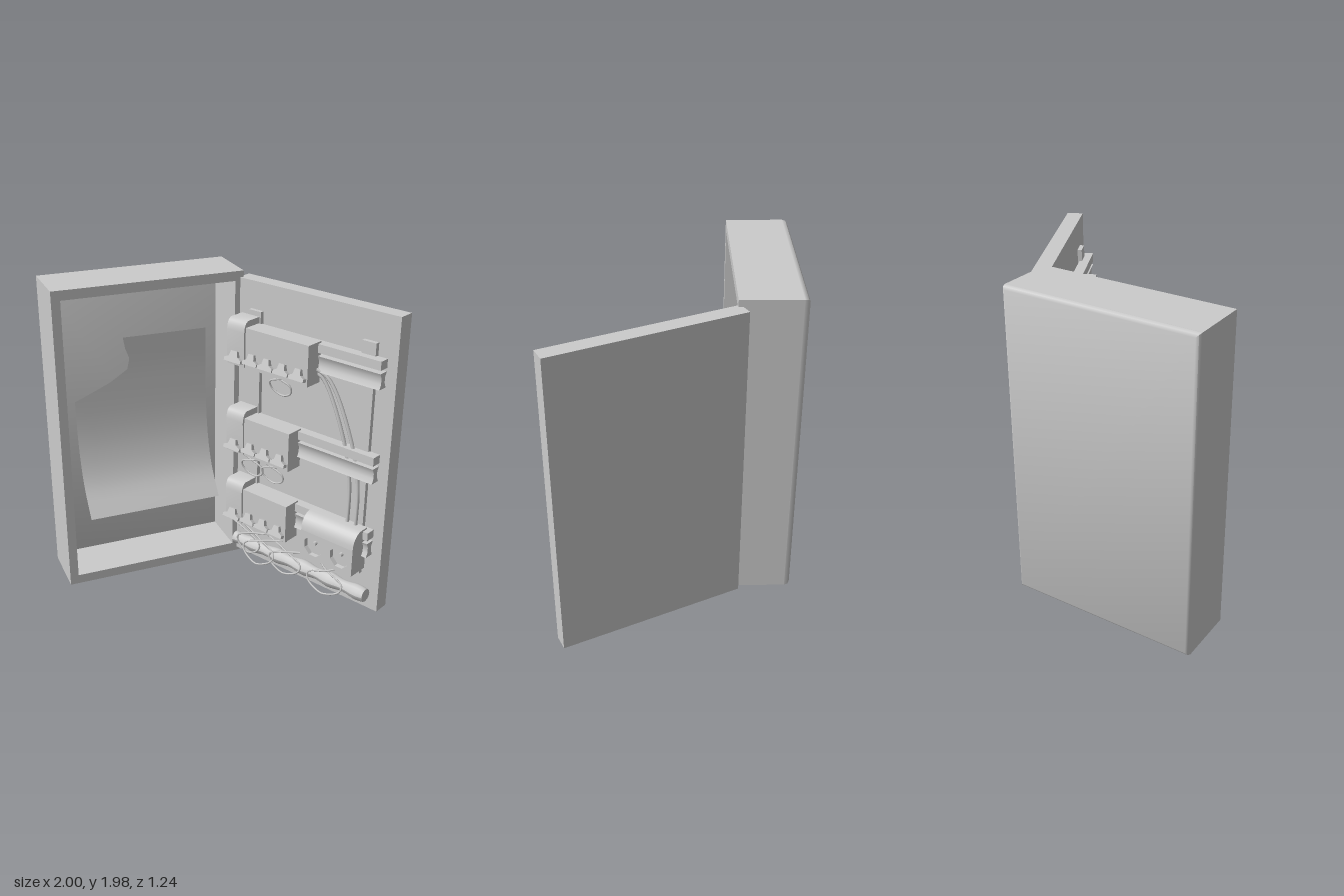
import * as THREE from 'three';
import { toCreasedNormals } from 'three/addons/utils/BufferGeometryUtils.js';

const grey = new THREE.MeshStandardMaterial({ color: 0xcccccc });
const thin = new THREE.MeshStandardMaterial({ color: 0xcccccc, side: THREE.DoubleSide });

function add(parent, name, geometry, material = grey) {
  const mesh = new THREE.Mesh(geometry, material);
  mesh.name = name;
  parent.add(mesh);
  return mesh;
}

// box given by its limits on each axis
function block(parent, name, x0, x1, y0, y1, z0, z1) {
  const g = new THREE.BoxGeometry(x1 - x0, y1 - y0, z1 - z0);
  g.translate((x0 + x1) / 2, (y0 + y1) / 2, (z0 + z1) / 2);
  return add(parent, name, g);
}

// side profile of [z, y] points swept from x0 to x1
function prism(parent, name, profile, x0, x1, y = 0) {
  const shape = new THREE.Shape(profile.map(([z, py]) => new THREE.Vector2(-z, py)));
  const g = new THREE.ExtrudeGeometry(shape, { depth: x1 - x0, bevelEnabled: false });
  g.rotateY(Math.PI / 2).translate(x0, y, 0);
  return add(parent, name, toCreasedNormals(g, 0.7));
}

function rect(path, x0, x1, y0, y1) {
  return path.moveTo(x0, y0).lineTo(x1, y0).lineTo(x1, y1).lineTo(x0, y1).closePath();
}

function wire(parent, name, points, radius, segments = 24) {
  const curve = new THREE.CatmullRomCurve3(points.map(p => new THREE.Vector3(...p)));
  return add(parent, name, new THREE.TubeGeometry(curve, segments, radius, 6));
}

// hanging loop whose two ends cross below the breaker
function wireLoop(parent, x, w, spread, top, cross, bottom, zTop, zBottom) {
  const mid = cross + (bottom - cross) * 0.5;
  const z = y => zTop + (zBottom - zTop) * (top - y) / (top - bottom);
  const pts = [[-spread, top], [0, cross], [w * 0.45, mid + 0.02], [w * 0.42, mid - 0.025], [0.02, bottom],
    [-0.02, bottom], [-w * 0.42, mid - 0.025], [-w * 0.45, mid + 0.02], [0, cross], [spread, top]];
  wire(parent, 'wireLoop', pts.map(([px, y], i) => [x + px, y, z(y) + i * 0.001]), 0.006, 40);
}

// toggle: narrow stem flaring into a wide foot
function toggle(parent, x, y, w) {
  const h = w / 2;
  const s = new THREE.Shape([[-h, -0.035], [h, -0.035], [h, -0.015], [h * 0.5, 0], [h * 0.36, 0.035],
    [-h * 0.36, 0.035], [-h * 0.5, 0], [-h, -0.015]].map(p => new THREE.Vector2(...p)));
  const m = add(parent, 'toggle', new THREE.ExtrudeGeometry(s, { depth: 0.03, bevelEnabled: false }));
  m.position.set(x, y, -0.285);
  m.rotation.x = -0.3;
}

function makeCover() {
  // local x runs from hinge to free edge, local z from the opening to the outside
  const cover = new THREE.Group();
  cover.name = 'cover';
  const L = 1.2, H = 1.975, t = 0.055;
  const frame = rect(new THREE.Shape(), 0, L, 0, H);
  frame.holes.push(rect(new THREE.Path(), t, L - t, 0.06, H - 0.06));
  add(cover, 'coverWalls', new THREE.ExtrudeGeometry(frame, { depth: 0.353, bevelEnabled: false }));
  const plate = new THREE.ExtrudeGeometry(rect(new THREE.Shape(), 0.02, L - 0.02, 0.02, H - 0.02),
    { depth: 0.005, bevelThickness: 0.03, bevelSize: 0.02, bevelSegments: 2 });
  plate.translate(0, 0, 0.35);
  add(cover, 'coverFace', toCreasedNormals(plate, 0.9));

  // curled sheet inside the cover, leaning slightly into its face
  const profile = new THREE.CatmullRomCurve3([[1.53, 0.31], [1.24, 0.309], [0.86, 0.282], [0.6, 0.204], [0.41, 0.07]]
    .map(([y, z]) => new THREE.Vector3(0, y, z)));
  const sheet = new THREE.PlaneGeometry(1, 1, 8, 16);
  const pos = sheet.attributes.position;
  for (let i = 0; i < pos.count; i++) {
    const u = pos.getX(i) + 0.5, v = 0.5 - pos.getY(i);
    const p = profile.getPoint(v);
    pos.setXYZ(i, 0.13 + 0.89 * u, p.y, p.z + 0.016 * u * (1 - v * v));
  }
  sheet.computeVertexNormals();
  add(cover, 'curledSheet', sheet, thin);

  cover.position.set(-0.14, 0, -0.47);
  cover.rotation.y = Math.atan2(-0.901, -0.434);
  return cover;
}

function makeRow(y0, count) {
  const row = new THREE.Group();
  row.name = 'breakerRow';
  // mounting rails
  block(row, 'upperRail', -0.1, 0.94, y0 + 0.21, y0 + 0.264, -0.44, -0.376);
  prism(row, 'lowerRail', [[-0.44, 0.093], [-0.425, 0.125], [-0.425, 0.16], [-0.44, 0.19],
    [-0.376, 0.19], [-0.39, 0.16], [-0.39, 0.125], [-0.376, 0.093]], -0.1, 0.94, y0);
  // main switch with rounded top
  prism(row, 'mainSwitch', [[-0.42, 0], [-0.366, 0], [-0.285, 0.02], [-0.28, 0.24], [-0.285, 0.272],
    [-0.296, 0.296], [-0.315, 0.31], [-0.42, 0.31]], -0.105, 0.032, y0);
  toggle(row, -0.036, y0 + 0.075, 0.13);
  // bank of breakers
  const pitch = 0.1175;
  block(row, 'breakerBank', 0.04, 0.04 + pitch * count, y0 + 0.02, y0 + 0.275, -0.405, -0.285);
  for (let i = 0; i < count; i++) toggle(row, 0.04 + pitch * (i + 0.5), y0 + 0.085, 0.11);
  return row;
}

function makeSocketBox() {
  const box = new THREE.Group();
  box.name = 'socketBox';
  const body = [[-0.42, 0.32], [-0.31, 0.32], [-0.31, 0.5], [-0.28, 0.5]];
  for (let i = 1; i <= 6; i++) {
    const a = i / 6 * Math.PI / 2;
    body.push([-0.36 + 0.08 * Math.cos(a), 0.505 + 0.1 * Math.sin(a)]);
  }
  body.push([-0.42, 0.605]);
  prism(box, 'socketBody', body, 0.52, 0.905);
  // front plate with two octagonal recesses
  const plate = rect(new THREE.Shape(), 0.52, 0.905, 0.32, 0.5);
  for (const x of [0.615, 0.81]) {
    plate.holes.push(new THREE.Path(Array.from({ length: 8 }, (_, i) => {
      const a = (i + 0.5) * Math.PI / 4;
      return new THREE.Vector2(x + 0.07 * Math.cos(a), 0.413 + 0.07 * Math.sin(a));
    })));
    const pin = new THREE.CylinderGeometry(0.013, 0.013, 0.025, 8).rotateX(Math.PI / 2);
    add(box, 'socketPin', pin.translate(x, 0.428, -0.3));
  }
  const g = new THREE.ExtrudeGeometry(plate, { depth: 0.031, bevelEnabled: false });
  add(box, 'socketFront', g.translate(0, 0, -0.311));
  return box;
}

export function createModel() {
  const model = new THREE.Group();
  model.name = 'fuseBox';
  block(model, 'backPanel', -0.165, 1, 0.025, 1.935, -0.55, -0.45);
  model.add(makeCover());

  // upright supports
  for (const x of [-0.055, 0.775]) block(model, 'uprightSupport', x, x + 0.095, 0.26, 1.76, -0.452, -0.423);

  [[1.42, 4], [0.83, 3], [0.33, 3]].forEach(([y, n]) => model.add(makeRow(y, n)));
  model.add(makeSocketBox());

  // supply cables from the top row down to the socket box
  wire(model, 'supplyCable', [[0.46, 1.52, -0.37], [0.53, 1.48, -0.4], [0.68, 1.2, -0.405], [0.765, 0.88, -0.405], [0.775, 0.56, -0.4]], 0.011);
  wire(model, 'supplyCable', [[0.48, 1.54, -0.37], [0.58, 1.48, -0.4], [0.735, 1.2, -0.405], [0.825, 0.88, -0.405], [0.835, 0.56, -0.4]], 0.011);

  // wire loops under each row
  wireLoop(model, 0.28, 0.17, 0.08, 1.45, 1.425, 1.31, -0.31, -0.355);
  wireLoop(model, 0.075, 0.18, 0.13, 0.86, 0.82, 0.7, -0.31, -0.35);
  wireLoop(model, 0.235, 0.18, 0.13, 0.86, 0.82, 0.7, -0.315, -0.355);
  wireLoop(model, 0.08, 0.2, 0.18, 0.35, 0.29, 0.15, -0.31, -0.3);
  wireLoop(model, 0.19, 0.27, 0.2, 0.35, 0.28, 0.13, -0.32, -0.25);
  wireLoop(model, 0.39, 0.27, 0.24, 0.35, 0.27, 0.13, -0.33, -0.28);
  wireLoop(model, 0.72, 0.28, 0.1, 0.34, 0.28, 0.14, -0.31, -0.25);

  // wavy conduit along the bottom
  const conduit = new THREE.CylinderGeometry(0.044, 0.044, 1.055, 12, 48).rotateZ(Math.PI / 2);
  const pos = conduit.attributes.position;
  for (let i = 0; i < pos.count; i++) {
    const k = 1 + 0.14 * Math.sin(pos.getX(i) * 30);
    pos.setY(i, pos.getY(i) * k);
    pos.setZ(i, pos.getZ(i) * k);
  }
  conduit.computeVertexNormals();
  add(model, 'conduit', conduit.translate(0.4125, 0.14, -0.405));
  return model;
}
